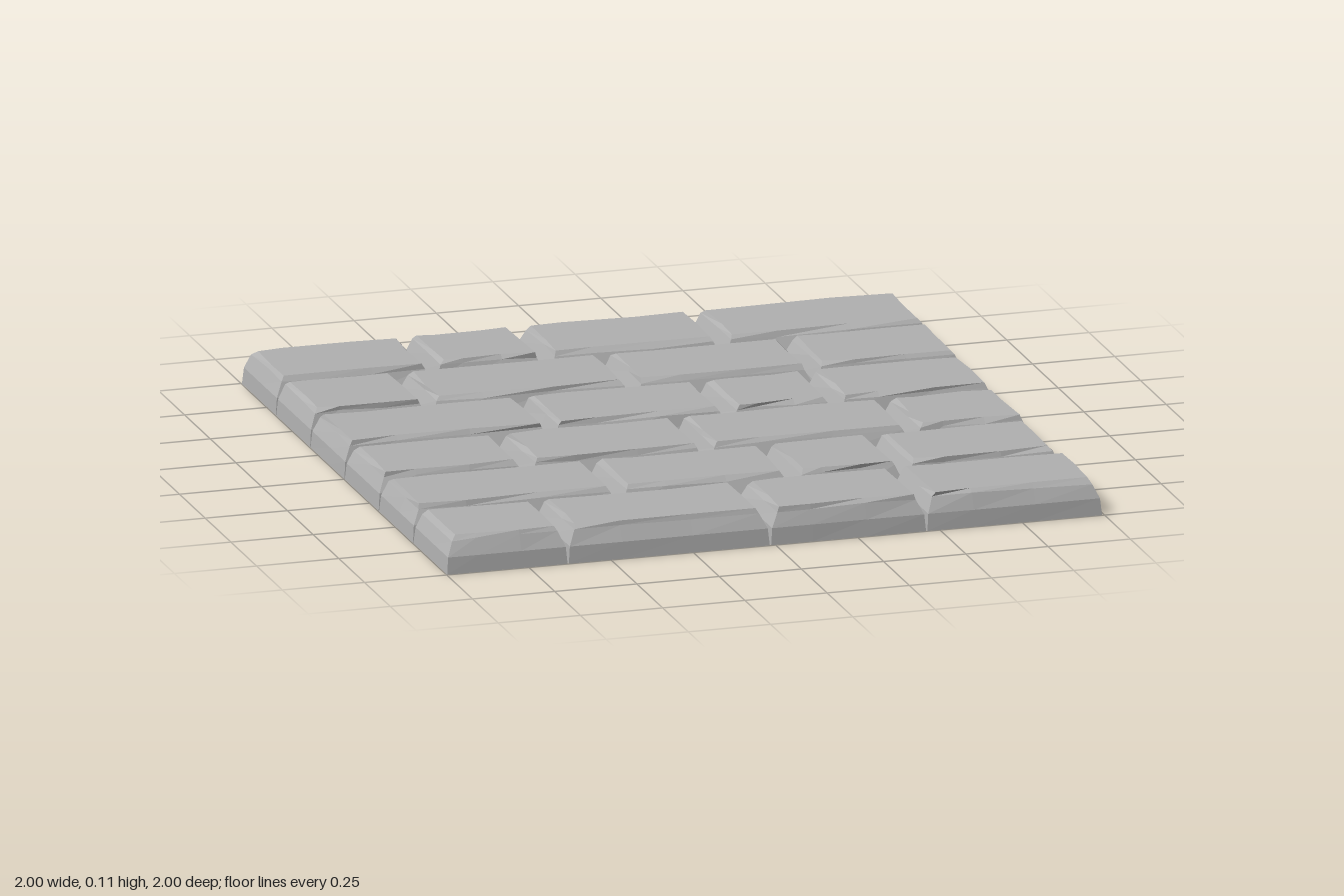
import * as THREE from 'three';

// small seeded generator for the chipped edges
function seeded(seed) {
  let s = seed * 7919 + 17;
  return () => {
    s = (s * 16807) % 2147483647;
    return s / 2147483647;
  };
}

// outline of a brick, going back-left, front-left, front-right, back-right
const OUTLINE = [
  [0, 0], [0, 0.55], [0, 1], [0.27, 1], [0.62, 1], [1, 1],
  [1, 0.45], [1, 0], [0.66, 0], [0.24, 0],
];
const N = OUTLINE.length;

// x limits of the bricks in every row, from back to front
const ROWS = [
  [-1, -0.51, -0.167, 0.367, 1],
  [-1, -0.63, -0.01, 0.54, 0.995],
  [-1, -0.365, 0.175, 0.505, 0.99],
  [-1, -0.54, 0.005, 0.63, 0.99],
  [-1, -0.365, 0.165, 0.5, 0.98],
  [-1, -0.63, -0.015, 0.46, 0.995],
];

// one stone: stacked cross-sections with chipped upper rings
function brickGeometry(x0, x1, z0, z1, seed, openBelow) {
  const rand = seeded(seed);
  for (let i = 0; i < 5; i++) rand();
  // height, inset on the short ends, back inset, front inset, chip size
  const levels = [
    [0, 0.002, 0.002, 0.002, 0],
    [0.05, 0.006, 0.006, 0.007, 0.002],
    [0.097, 0.024, 0.012, 0.026, 0.008],
    [0.107, 0.03, 0.028, 0.034, 0.018],
  ];
  const rings = levels.map(([y, side, back, front, chip], k) =>
    OUTLINE.map(([u, v]) => {
      const left = side + rand() * chip * 0.5;
      const right = side + rand() * chip * 0.5;
      const b = back + rand() * chip;
      const f = front + (rand() - 0.4) * chip;
      const x = u === 0 ? x0 + left : u === 1 ? x1 - right : x0 + (x1 - x0) * u;
      const z = v === 0 ? z0 + b : v === 1 ? z1 - f : z0 + (z1 - z0) * v;
      const drop = k === 2 ? rand() * 0.008 : 0;
      return [x, y - drop, z];
    }));

  const pos = [];
  const tri = (a, b, c) => pos.push(...a, ...b, ...c);
  for (let k = 0; k < rings.length - 1; k++) {
    for (let i = 0; i < N; i++) {
      const j = (i + 1) % N;
      const a = rings[k][i], b = rings[k][j];
      const c = rings[k + 1][j], d = rings[k + 1][i];
      tri(a, b, c);
      tri(a, c, d);
    }
  }
  // worn top and flat underside
  const cx = (x0 + x1) / 2, cz = (z0 + z1) / 2;
  const top = rings[rings.length - 1];
  for (let i = 0; i < N; i++) {
    const j = (i + 1) % N;
    tri([cx, 0.107, cz], top[i], top[j]);
    if (!openBelow) tri([cx, 0, cz], rings[0][j], rings[0][i]);
  }
  const g = new THREE.BufferGeometry();
  g.setAttribute('position', new THREE.Float32BufferAttribute(pos, 3));
  g.computeVertexNormals();
  return g;
}

export function createModel() {
  const group = new THREE.Group();
  group.name = 'stonePaving';
  const stone = new THREE.MeshStandardMaterial({
    color: 0xb0b0b0, flatShading: true, side: THREE.DoubleSide,
  });
  stone.name = 'grey stone';

  const depth = 2 / ROWS.length;
  ROWS.forEach((xs, r) => {
    const row = new THREE.Group();
    row.name = `brickRow${r + 1}`;
    for (let i = 0; i < xs.length - 1; i++) {
      // the second stone of the back row is hollow and a little shorter
      const hollow = r === 0 && i === 1;
      const z0 = -1 + r * depth;
      const z1 = z0 + depth - (hollow ? 0.015 : 0);
      const mesh = new THREE.Mesh(
        brickGeometry(xs[i], xs[i + 1], z0, z1, r * 4 + i + 1, hollow), stone);
      mesh.name = `brick${r + 1}_${i + 1}`;
      row.add(mesh);
    }
    group.add(row);
  });
  return group;
}
